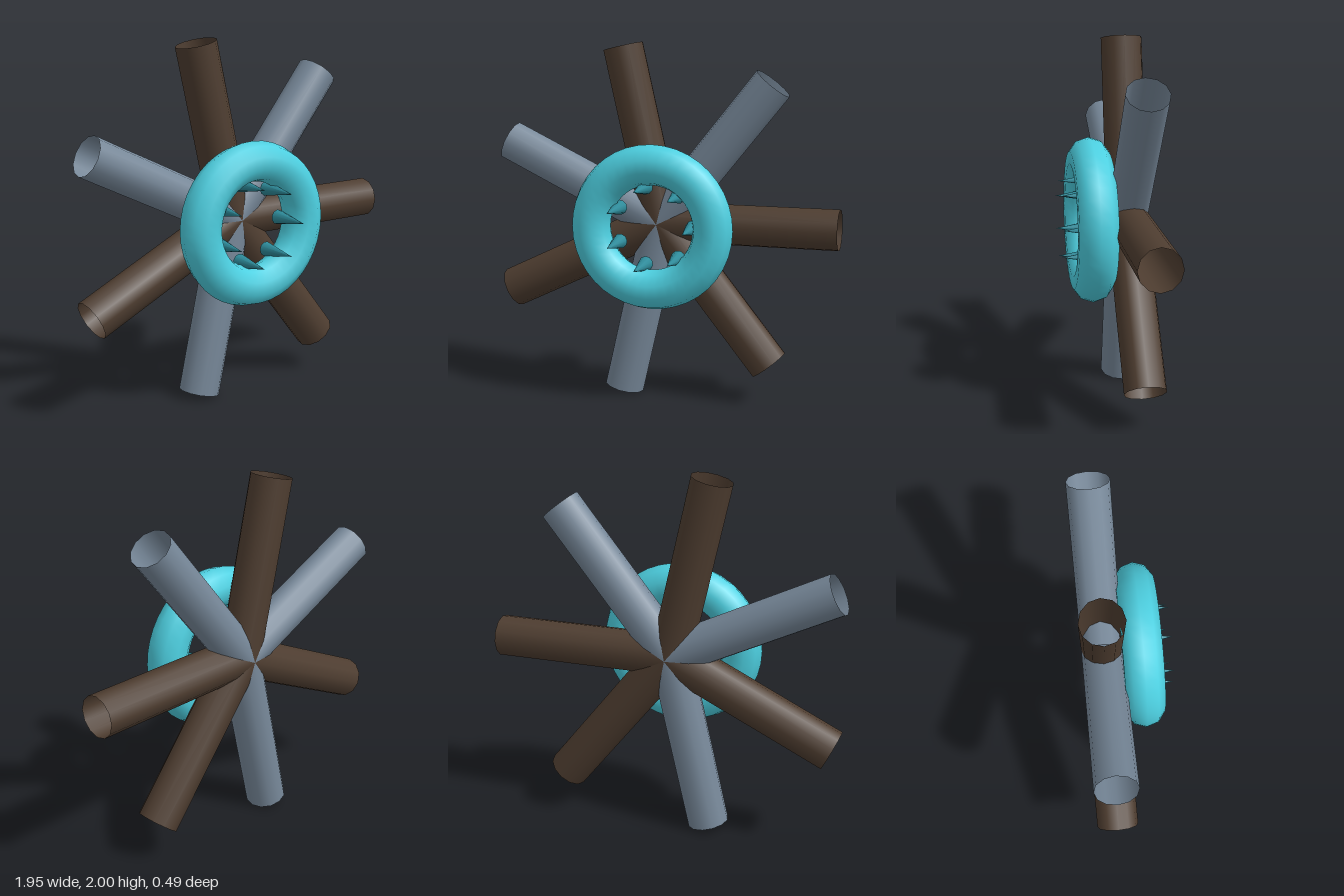
import * as THREE from 'three';

const COUNT = 7;
const CENTER_X = -0.03;

const material = (color, open = false) =>
  new THREE.MeshStandardMaterial({ color, side: open ? THREE.DoubleSide : THREE.FrontSide });

export function createModel() {
  const model = new THREE.Group();
  model.name = 'spokedRing';

  const brown = material(0x4e3d30, true);
  const grey = material(0x778899, true);
  const cyan = material(0x4dd0e1);
  const teal = material(0x2e8b9a);

  // Open tube lying along +x from the hub outwards
  const armGeometry = new THREE.CylinderGeometry(0.114, 0.114, 1, 12, 1, true)
    .rotateZ(-Math.PI / 2)
    .translate(0.5, 0, -0.133);

  // Spike pointing forwards, just inside the ring
  const spikeGeometry = new THREE.ConeGeometry(0.042, 0.23, 10)
    .rotateX(Math.PI / 2)
    .translate(0.22, 0, 0.13);

  // Arms in alternating colours, each with its spike
  for (let i = 0; i < COUNT; i++) {
    const spoke = new THREE.Group();
    spoke.name = `spoke${i + 1}`;
    spoke.position.set(CENTER_X, 1, 0);
    spoke.rotation.z = (i / COUNT) * Math.PI * 2;

    const arm = new THREE.Mesh(armGeometry, i % 2 ? grey : brown);
    arm.name = 'arm';
    const spike = new THREE.Mesh(spikeGeometry, teal);
    spike.name = 'spike';
    spoke.add(arm, spike);
    model.add(spoke);
  }

  // Ring in front of the hub
  const ring = new THREE.Mesh(new THREE.TorusGeometry(0.345, 0.111, 10, 40), cyan);
  ring.name = 'ring';
  ring.position.set(CENTER_X, 1, 0.073);
  model.add(ring);

  return model;
}
